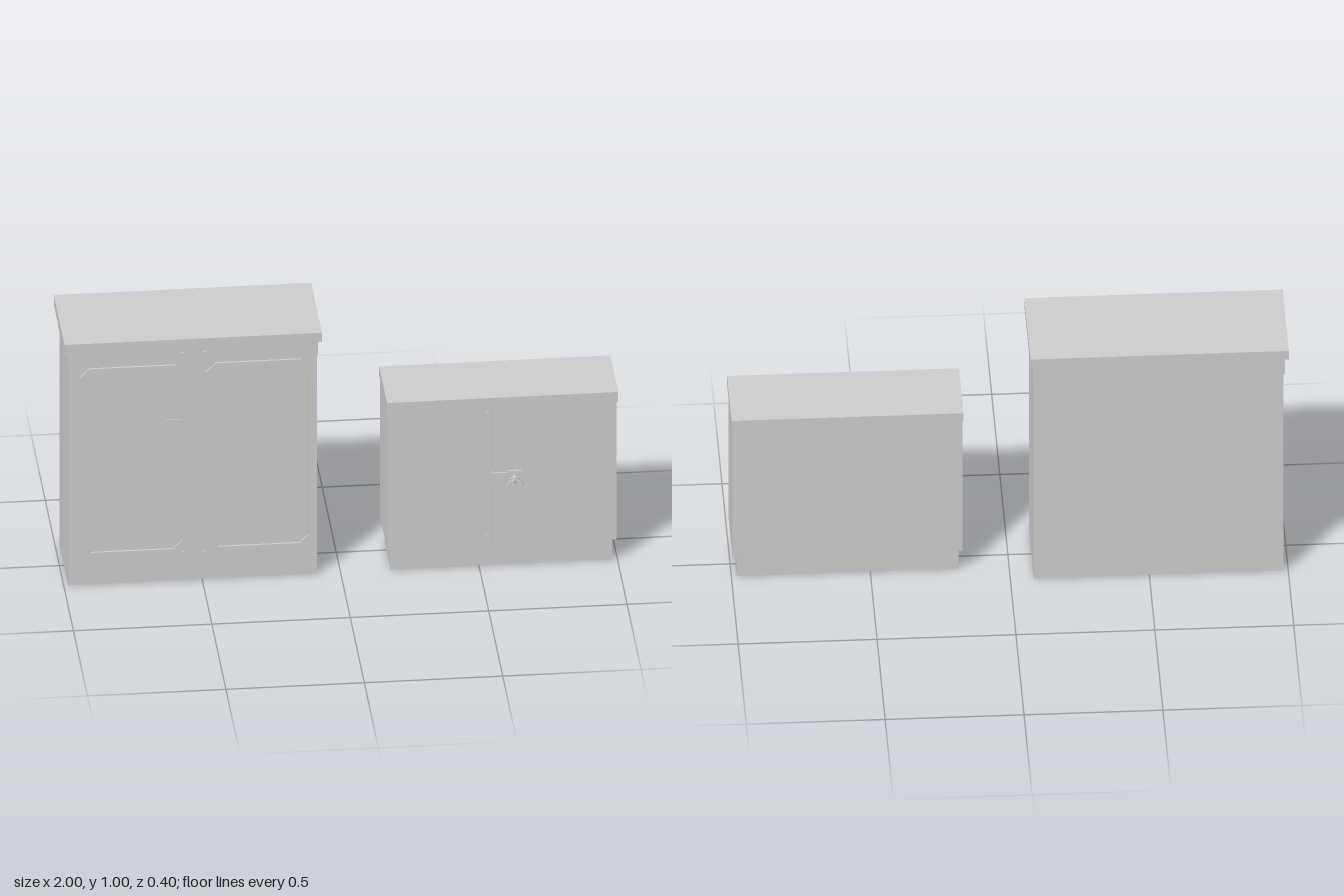
import * as THREE from 'three';

const grey = new THREE.MeshStandardMaterial({ color: 0xcccccc });

function add(parent, name, geometry) {
  const mesh = new THREE.Mesh(geometry, grey);
  mesh.name = name;
  parent.add(mesh);
  return mesh;
}

// Box given by its limits on each axis
function box(parent, name, [x0, x1], [y0, y1], [z0, z1]) {
  const mesh = add(parent, name, new THREE.BoxGeometry(x1 - x0, y1 - y0, z1 - z0));
  mesh.position.set((x0 + x1) / 2, (y0 + y1) / 2, (z0 + z1) / 2);
  return mesh;
}

// Disc facing forward, from z0 to z1
function disc(parent, name, x, y, z0, z1, r, sides = 16) {
  const mesh = add(parent, name, new THREE.CylinderGeometry(r, r, z1 - z0, sides));
  mesh.rotation.x = Math.PI / 2;
  mesh.position.set(x, y, (z0 + z1) / 2);
}

// Rectangle with cut corners
function cutCorners(path, x0, x1, y0, y1, c) {
  const points = [
    [x0 + c, y0], [x1 - c, y0], [x1, y0 + c], [x1, y1 - c],
    [x1 - c, y1], [x0 + c, y1], [x0, y1 - c], [x0, y0 + c],
  ];
  return path.setFromPoints(points.map(([x, y]) => new THREE.Vector2(x, y)));
}

function moulding(parent, x0, x1, y0, y1, z, depth) {
  const w = 0.012;
  const shape = cutCorners(new THREE.Shape(), x0, x1, y0, y1, 0.036);
  shape.holes.push(cutCorners(new THREE.Path(), x0 + w, x1 - w, y0 + w, y1 - w, 0.031));
  add(parent, 'doorMoulding', new THREE.ExtrudeGeometry(shape, { depth, bevelEnabled: false })).position.z = z;
}

function tallCabinet() {
  const g = new THREE.Group();
  g.name = 'tallCabinet';
  box(g, 'plinth', [-0.983, -0.085], [0, 0.07], [-0.155, 0.153]);
  box(g, 'body', [-0.983, -0.085], [0.07, 0.958], [-0.17, 0.157]);
  box(g, 'upperBand', [-0.987, -0.08], [0.88, 0.958], [-0.18, 0.135]);
  box(g, 'lid', [-1, -0.07], [0.958, 0.996], [-0.2, 0.184]);
  box(g, 'doorStrip', [-0.543, -0.515], [0.07, 0.958], [0.15, 0.166]);
  // Framed panel on each door
  for (const x of [-0.945, -0.488]) moulding(g, x, x + 0.383, 0.122, 0.882, 0.156, 0.009);
  // Lock bolts beside the strip
  for (const x of [-0.567, -0.488]) {
    for (const y of [0.108, 0.92]) disc(g, 'bolt', x, y, 0.15, 0.163, 0.012);
  }
  box(g, 'doorHandle', [-0.635, -0.575], [0.652, 0.658], [0.15, 0.161]);
  return g;
}

function lowCabinet() {
  const g = new THREE.Group();
  g.name = 'lowCabinet';
  box(g, 'plinth', [0.182, 0.98], [0, 0.088], [-0.077, 0.153]);
  box(g, 'body', [0.168, 0.996], [0.088, 0.657], [-0.093, 0.168]);
  box(g, 'lid', [0.165, 1], [0.657, 0.697], [-0.097, 0.184]);
  box(g, 'doorStrip', [0.548, 0.602], [0.088, 0.657], [0.16, 0.181]);
  for (const y of [0.125, 0.625]) disc(g, 'bolt', 0.53, y, 0.16, 0.173, 0.011);

  // Hasp folded over the strip, with its staple
  box(g, 'hasp', [0.545, 0.605], [0.35, 0.392], [0.165, 0.188]);
  box(g, 'haspEnd', [0.6, 0.655], [0.352, 0.392], [0.165, 0.177]);
  const staple = add(g, 'staple', new THREE.TorusGeometry(0.014, 0.004, 8, 16));
  staple.rotation.y = Math.PI / 2;
  staple.position.set(0.627, 0.364, 0.182);

  // Round padlock
  disc(g, 'padlock', 0.627, 0.327, 0.168, 0.19, 0.034, 32);
  const shackle = add(g, 'shackle', new THREE.TorusGeometry(0.014, 0.004, 8, 16, Math.PI));
  shackle.position.set(0.627, 0.356, 0.181);
  return g;
}

export function createModel() {
  const model = new THREE.Group();
  model.name = 'cabinets';
  model.add(tallCabinet(), lowCabinet());
  return model;
}
